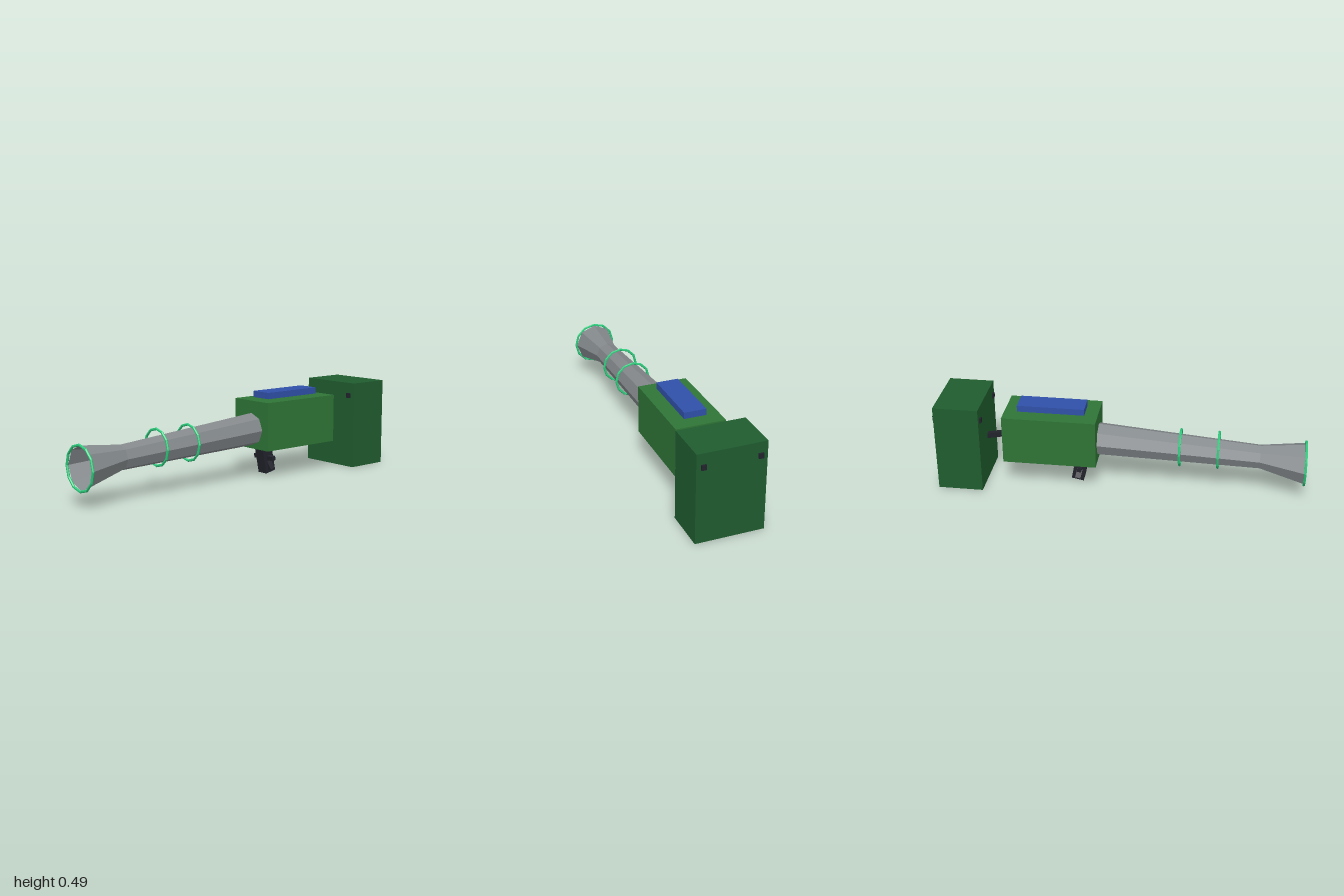
import * as THREE from 'three';

const mat = (name, color, extra = {}) => {
  const m = new THREE.MeshStandardMaterial({ color, ...extra });
  m.name = name;
  return m;
};

// Faceted normals for low-poly parts
function faceted(geometry) {
  const g = geometry.index ? geometry.toNonIndexed() : geometry;
  g.computeVertexNormals();
  return g;
}

// Open tube through octagonal sections [z, centreY, radius], listed back to front
function octagonTube(sections) {
  const sides = 8, pos = [], idx = [];
  for (const [z, y, r] of sections) {
    for (let i = 0; i < sides; i++) {
      const a = (i / sides) * Math.PI * 2;
      pos.push(Math.cos(a) * r, y + Math.sin(a) * r, z);
    }
  }
  for (let s = 0; s < sections.length - 1; s++) {
    for (let i = 0; i < sides; i++) {
      const a = s * sides + i, b = s * sides + (i + 1) % sides;
      idx.push(a, b, b + sides, a, b + sides, a + sides);
    }
  }
  const g = new THREE.BufferGeometry();
  g.setAttribute('position', new THREE.Float32BufferAttribute(pos, 3));
  g.setIndex(idx);
  return faceted(g);
}

export function createModel() {
  const model = new THREE.Group();
  model.name = 'shoulderCannon';

  const darkGreen = mat('dark green', 0x1f5c2e);
  const green = mat('green', 0x2e7436);
  const grey = mat('grey metal', 0x83888b, { side: THREE.DoubleSide });
  const mint = mat('mint green', 0x2ecc7d);
  const blue = mat('blue', 0x3050a8);
  const black = mat('black', 0x22222c);

  const add = (name, geometry, material, x, y, z, parent = model) => {
    const mesh = new THREE.Mesh(geometry, material);
    mesh.name = name;
    mesh.position.set(x, y, z);
    parent.add(mesh);
    return mesh;
  };
  const box = (name, material, w, h, d, x, y, z, parent) =>
    add(name, new THREE.BoxGeometry(w, h, d), material, x, y, z, parent);

  // Rear pack with pins running through it
  box('rearPack', darkGreen, 0.366, 0.488, 0.245, 0, 0.244, -0.8675);
  for (const side of [-1, 1]) {
    box('packPin', black, 0.026, 0.027, 0.265, side * 0.147, 0.416, -0.8675);
  }

  // Sloping link between pack and body
  const link = box('link', black, 0.028, 0.028, 0.19, 0, 0.257, -0.688);
  link.rotation.x = -0.19;

  // Body with the raised panel floating just above it
  box('body', green, 0.27, 0.266, 0.507, 0, 0.295, -0.3785);
  box('topPanel', blue, 0.12, 0.035, 0.365, 0, 0.4525, -0.3775);

  // Barrel, narrowing to the throat and widening to the mouth
  add('barrel', octagonTube([
    [-0.128, 0.27, 0.09],
    [0.75, 0.222, 0.066],
    [0.985, 0.198, 0.114],
  ]), grey, 0, 0, 0);

  // Rings around the barrel and mouth
  for (const [name, z, y, radius, tilt] of [
    ['barrelRing', 0.32, 0.247, 0.097, 0],
    ['barrelRing', 0.526, 0.246, 0.097, 0],
    ['mouthRing', 0.991, 0.198, 0.117, 0],
  ]) {
    const ring = add(name, faceted(new THREE.TorusGeometry(radius, 0.007, 6, 12)), mint, 0, y, z);
    ring.rotation.x = tilt;
  }

  // Raked grip with a cross bar and splayed side braces
  const grip = new THREE.Group();
  grip.name = 'grip';
  grip.position.set(0, 0.1, -0.226);
  grip.rotation.x = 0.2;
  model.add(grip);
  box('handle', black, 0.064, 0.165, 0.068, 0, 0, 0, grip);
  box('crossBar', black, 0.15, 0.024, 0.024, 0, 0.002, 0, grip);
  for (const side of [-1, 1]) {
    const brace = box('brace', black, 0.026, 0.06, 0.03, side * 0.029, -0.04, 0, grip);
    brace.rotation.z = side * 0.45;
  }

  return model;
}
